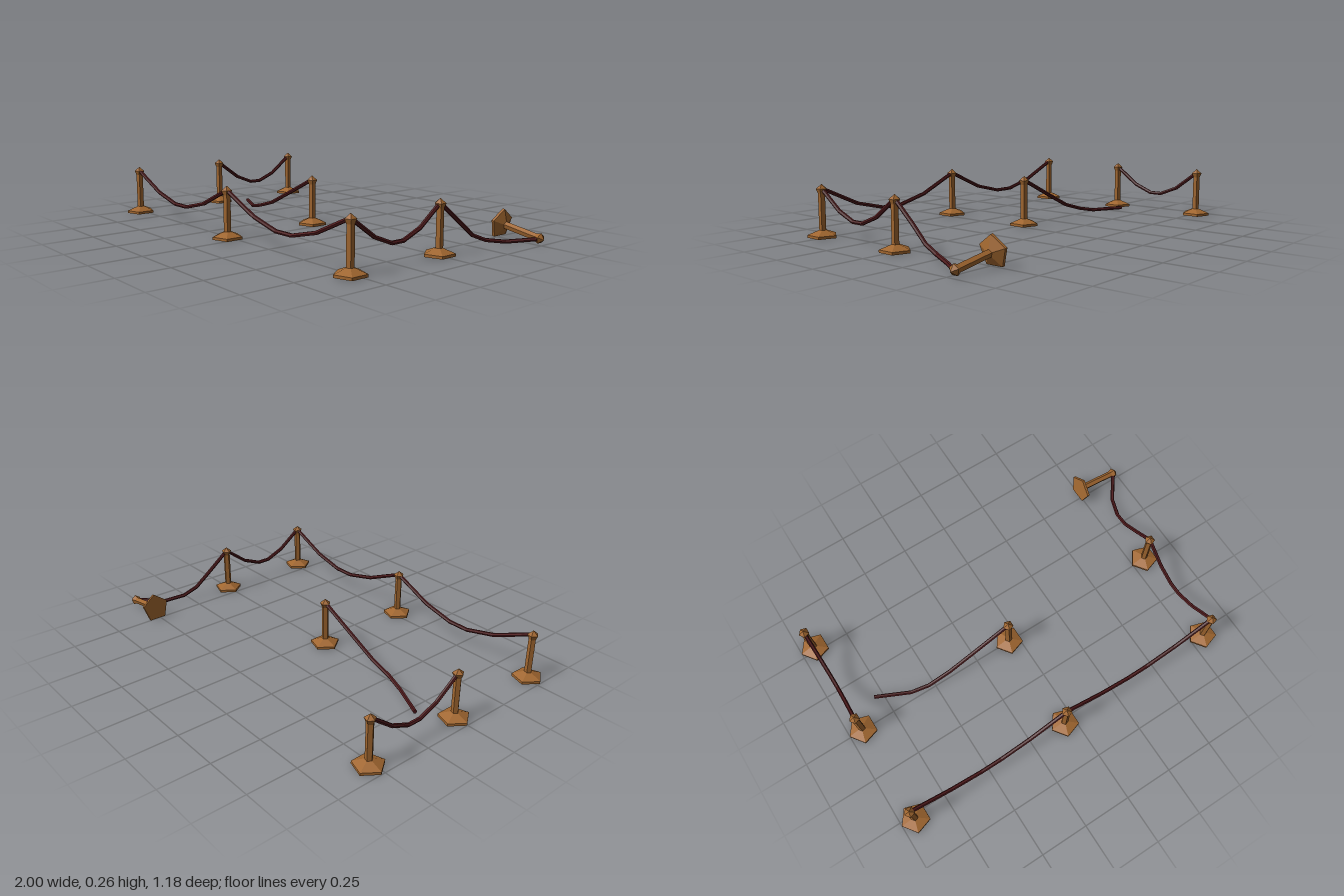
import * as THREE from 'three';

const brass = new THREE.MeshStandardMaterial({ color: 0xa0662f, flatShading: true });
brass.name = 'warm brown';
const velvet = new THREE.MeshStandardMaterial({ color: 0x501a1c, flatShading: true });
velvet.name = 'dark maroon';

const TOP = 0.235; // height where ropes meet the posts

// Five-sided turned part from a [radius, y] profile, one corner facing -x
function turned(name, profile) {
  const pts = profile.map(([r, y]) => new THREE.Vector2(r, y));
  const mesh = new THREE.Mesh(new THREE.LatheGeometry(pts, 5, -Math.PI / 2), brass);
  mesh.name = name;
  return mesh;
}

function makePost(name) {
  const post = new THREE.Group();
  post.name = name;
  post.add(
    turned('base', [[0, 0], [0.074, 0], [0.074, 0.013], [0.018, 0.035]]),
    turned('shaft', [[0.018, 0.034], [0.018, 0.212]]),
    turned('cap', [[0.018, 0.212], [0.027, 0.234], [0, 0.256]])
  );
  return post;
}

// Rope swept along a polyline, with mitred rings and closed ends
function makeRope(name, path, radius = 0.01, sides = 6) {
  const p = path.map((a) => new THREE.Vector3(...a));
  const pos = [], index = [];
  p.forEach((c, i) => {
    const dir = p[Math.min(i + 1, p.length - 1)].clone().sub(p[Math.max(i - 1, 0)]).normalize();
    const side = new THREE.Vector3().crossVectors(dir, new THREE.Vector3(0, 1, 0)).normalize();
    const up = new THREE.Vector3().crossVectors(side, dir);
    for (let k = 0; k < sides; k++) {
      const a = (k / sides) * Math.PI * 2;
      const v = c.clone().addScaledVector(side, radius * Math.cos(a)).addScaledVector(up, radius * Math.sin(a));
      pos.push(v.x, v.y, v.z);
    }
  });
  for (let i = 0; i < p.length - 1; i++) {
    for (let k = 0; k < sides; k++) {
      const a = i * sides + k, b = i * sides + ((k + 1) % sides);
      index.push(a, b + sides, b, a, a + sides, b + sides);
    }
  }
  const last = (p.length - 1) * sides;
  for (let k = 1; k < sides - 1; k++) {
    index.push(0, k, k + 1, last, last + k + 1, last + k);
  }
  const geo = new THREE.BufferGeometry();
  geo.setAttribute('position', new THREE.Float32BufferAttribute(pos, 3));
  geo.setIndex(index);
  geo.computeVertexNormals();
  const mesh = new THREE.Mesh(geo, velvet);
  mesh.name = name;
  return mesh;
}

// Sagging rope between two post tops given as [x, z]
const SAG = [[0, TOP], [0.25, 0.14], [0.44, 0.1], [0.57, 0.1], [0.76, 0.14], [1, TOP]];
function hangRope(name, [x0, z0], [x1, z1]) {
  return makeRope(name, SAG.map(([t, y]) => [x0 + (x1 - x0) * t, y, z0 + (z1 - z0) * t]));
}

export function createModel() {
  const model = new THREE.Group();
  model.name = 'ropeBarrier';
  const L = 0.819, M = -0.053, R = -0.926; // post columns in x
  const FRONT = 0.52, MID = -0.003, BACK = -0.521; // post rows in z

  // Standing posts
  [[R, BACK], [R, MID], [R, FRONT], [M, MID], [M, FRONT], [L, MID], [L, FRONT]].forEach(([x, z], i) => {
    const post = makePost('post' + (i + 1));
    post.position.set(x, 0, z);
    model.add(post);
  });

  // Toppled post resting on one edge of its base
  const fallen = makePost('fallenPost');
  fallen.position.set(0.748, 0.066, BACK);
  fallen.rotation.z = -THREE.MathUtils.degToRad(99.5);
  model.add(fallen);

  // Hanging ropes
  model.add(
    hangRope('rightRope', [R, MID], [R, BACK]),
    hangRope('frontRightRope', [R, FRONT], [M, FRONT]),
    hangRope('frontLeftRope', [M, FRONT], [L, FRONT]),
    hangRope('leftRope', [L, FRONT], [L, MID])
  );

  // Rope trailing to the toppled post
  model.add(makeRope('trailingRope', [
    [L, TOP, MID], [0.825, 0.138, -0.122], [0.834, 0.064, -0.21],
    [0.845, 0.032, -0.289], [0.882, 0.016, -0.389], [0.98, 0.027, BACK]
  ]));

  // Loose rope with its end on the ground
  model.add(makeRope('looseRope', [
    [M, TOP, MID], [-0.257, 0.137, -0.005], [-0.406, 0.067, -0.007],
    [-0.53, 0.032, -0.012], [-0.625, 0.014, -0.035], [-0.795, 0.015, -0.115]
  ]));
  return model;
}
